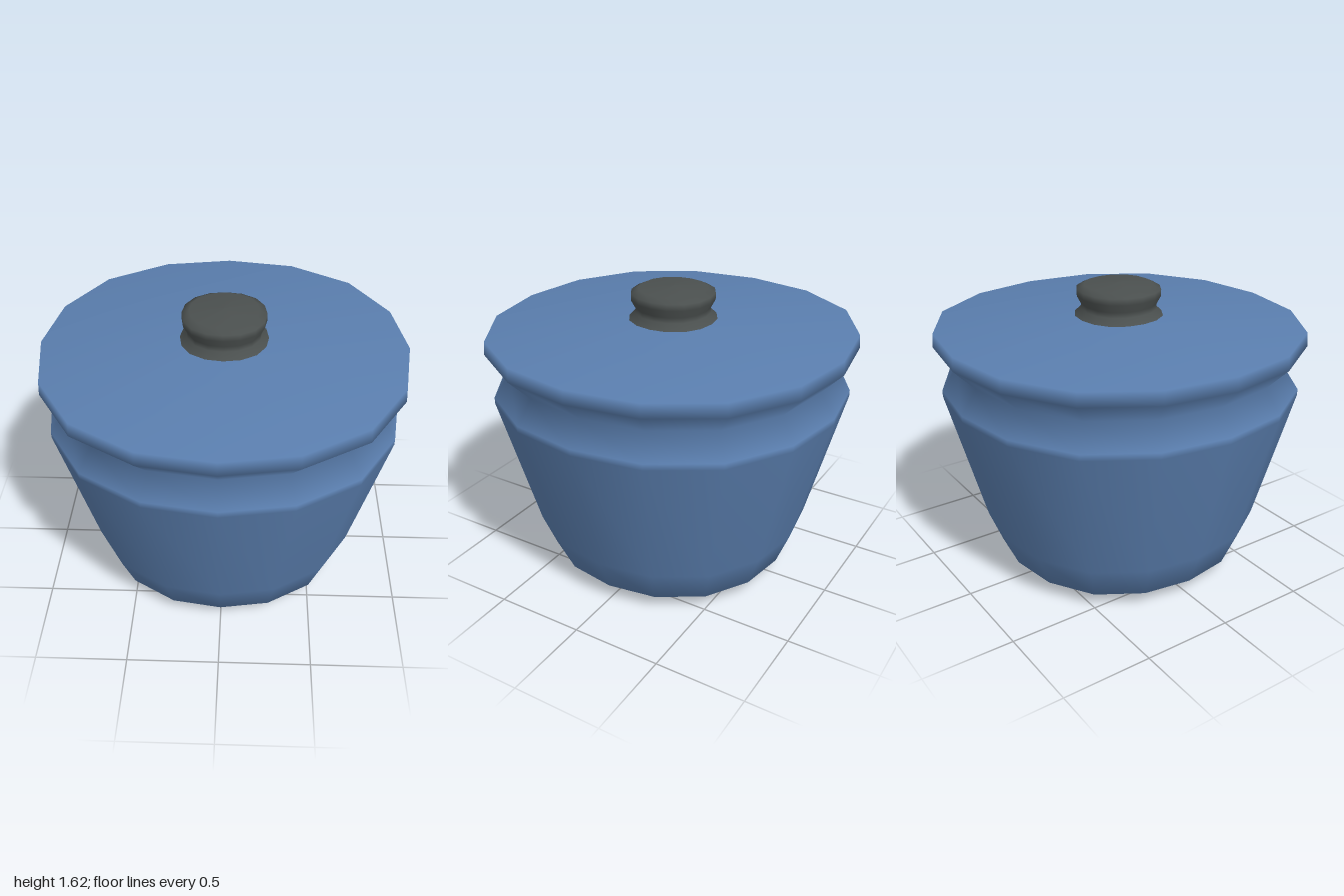
import * as THREE from 'three';

const SIDES = 16;

// Revolve a bottom-to-top profile; the ring is slightly fuller on its diagonals.
function revolve(profile) {
  const points = profile.map(([r, y]) => new THREE.Vector2(r, y));
  const geometry = new THREE.LatheGeometry(points, SIDES);
  const pos = geometry.attributes.position;
  for (let i = 0; i < pos.count; i++) {
    const x = pos.getX(i), z = pos.getZ(i);
    const k = 1 + 0.03 * Math.sin(2 * Math.atan2(z, x)) ** 2;
    pos.setX(i, x * k);
    pos.setZ(i, z * k);
  }
  return geometry;
}

// Keep only the bands between two profile points, so normals stay smooth across the cut.
function bands(geometry, count, from, to) {
  const part = geometry.clone();
  const index = [...geometry.index.array].filter((_, i, all) => {
    const t = i - (i % 3);
    const rows = [0, 1, 2].map((k) => all[t + k] % count);
    return Math.min(...rows) >= from && Math.max(...rows) <= to;
  });
  part.setIndex(index);
  return part;
}

export function createModel() {
  const group = new THREE.Group();
  const blue = new THREE.MeshStandardMaterial({ color: 0x5a7eae });
  blue.name = 'blue enamel';
  const grey = new THREE.MeshStandardMaterial({ color: 0x4b504f });
  grey.name = 'dark grey';

  const add = (name, geometry, material) => {
    const mesh = new THREE.Mesh(geometry, material);
    mesh.name = name;
    group.add(mesh);
  };

  // Pot and lid share one profile, parted at the neck
  const profile = [
    [0, 0], [0.25, 0.01], [0.48, 0.028], [0.6, 0.052], [0.69, 0.09], // domed base
    [0.765, 0.28], [0.965, 1.04], [0.965, 1.075], // wall and shoulder
    [0.88, 1.205], // neck
    [0.995, 1.325], [0.99, 1.4], [0.24, 1.45], [0, 1.452], // lid
  ];
  const neck = 8;
  const shell = revolve(profile);
  add('pot', bands(shell, profile.length, 0, neck), blue);
  add('lid', bands(shell, profile.length, neck, profile.length - 1), blue);

  // Knob with flared foot and rounded cap
  add('knob', revolve([
    [0.24, 1.448], [0.203, 1.485], [0.203, 1.515], [0.226, 1.56],
    [0.226, 1.595], [0.185, 1.615], [0, 1.625],
  ]), grey);

  return group;
}
